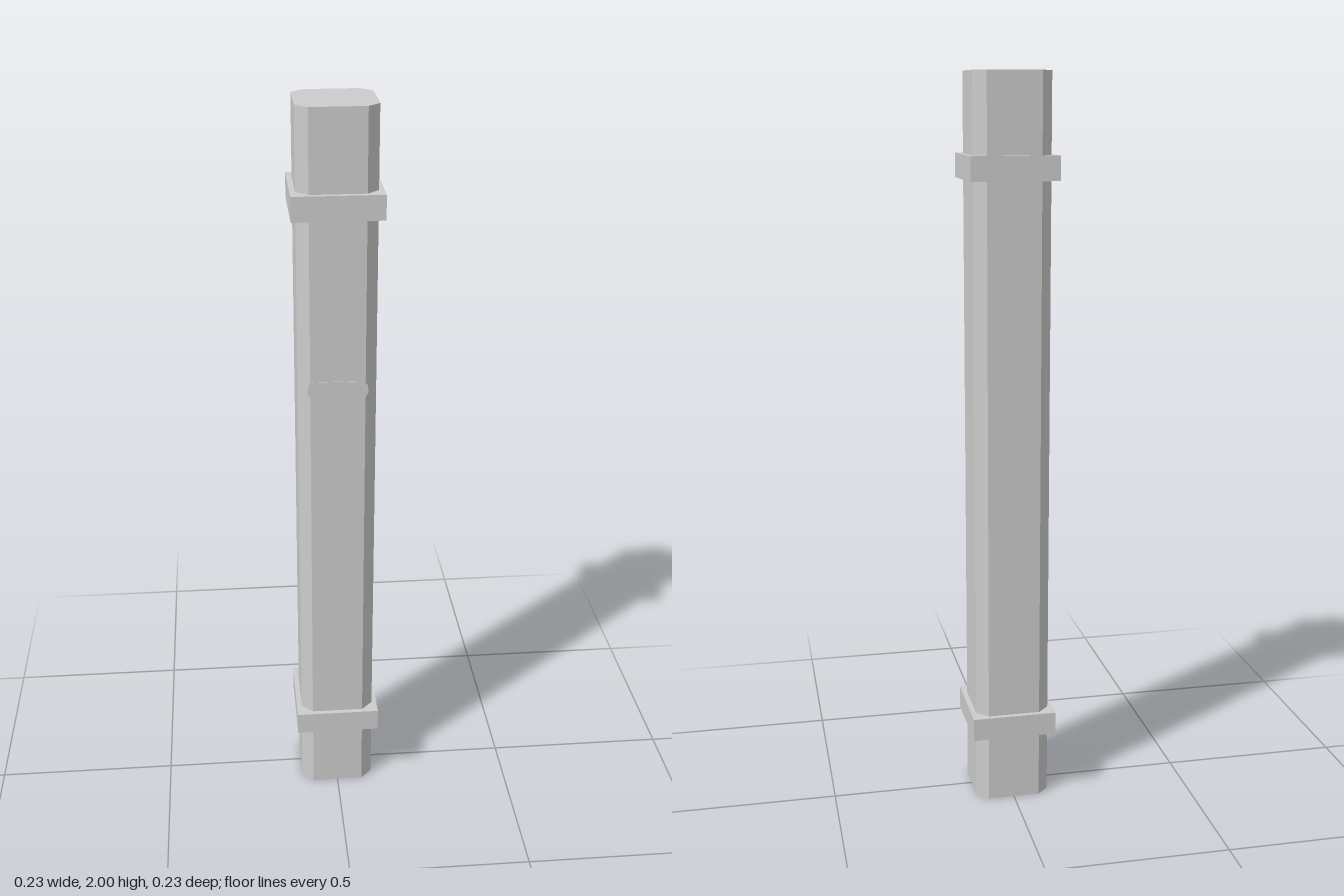
import * as THREE from 'three';

export function createModel() {
  const group = new THREE.Group();
  const stone = new THREE.MeshStandardMaterial({ color: 0xcccccc });
  stone.name = 'light grey';

  function add(name, geometry, x, y, z) {
    const mesh = new THREE.Mesh(geometry, stone);
    mesh.name = name;
    mesh.position.set(x, y, z);
    group.add(mesh);
  }

  function extrude(points, depth) {
    const shape = new THREE.Shape(points.map(([x, y]) => new THREE.Vector2(x, y)));
    return new THREE.ExtrudeGeometry(shape, { depth, bevelEnabled: false });
  }

  // Square post with chamfered corners
  const h = 0.103, c = 0.072;
  const section = [[h, -c], [h, c], [c, h], [-c, h], [-h, c], [-h, -c], [-c, -h], [c, -h]];
  add('post', extrude(section, 2).rotateX(-Math.PI / 2), 0, 0, 0);

  // Square collars near both ends
  for (const [name, y] of [['lowerCollar', 0.222], ['upperCollar', 1.758]]) {
    add(name, new THREE.BoxGeometry(0.234, 0.064, 0.234), 0, y, 0);
  }

  // Thin plain plaque on the front face, flared at its upper sides
  const side = [[0.045, 1.19], [0.066, 1.22], [0.07, 1.25], [0.08, 1.265], [0.078, 1.285], [0.066, 1.298]];
  const mirrored = side.map(([x, y]) => [-x, y]).reverse();
  add('plaque', extrude([...side, ...mirrored], 0.002), 0, 0, h);

  return group;
}
